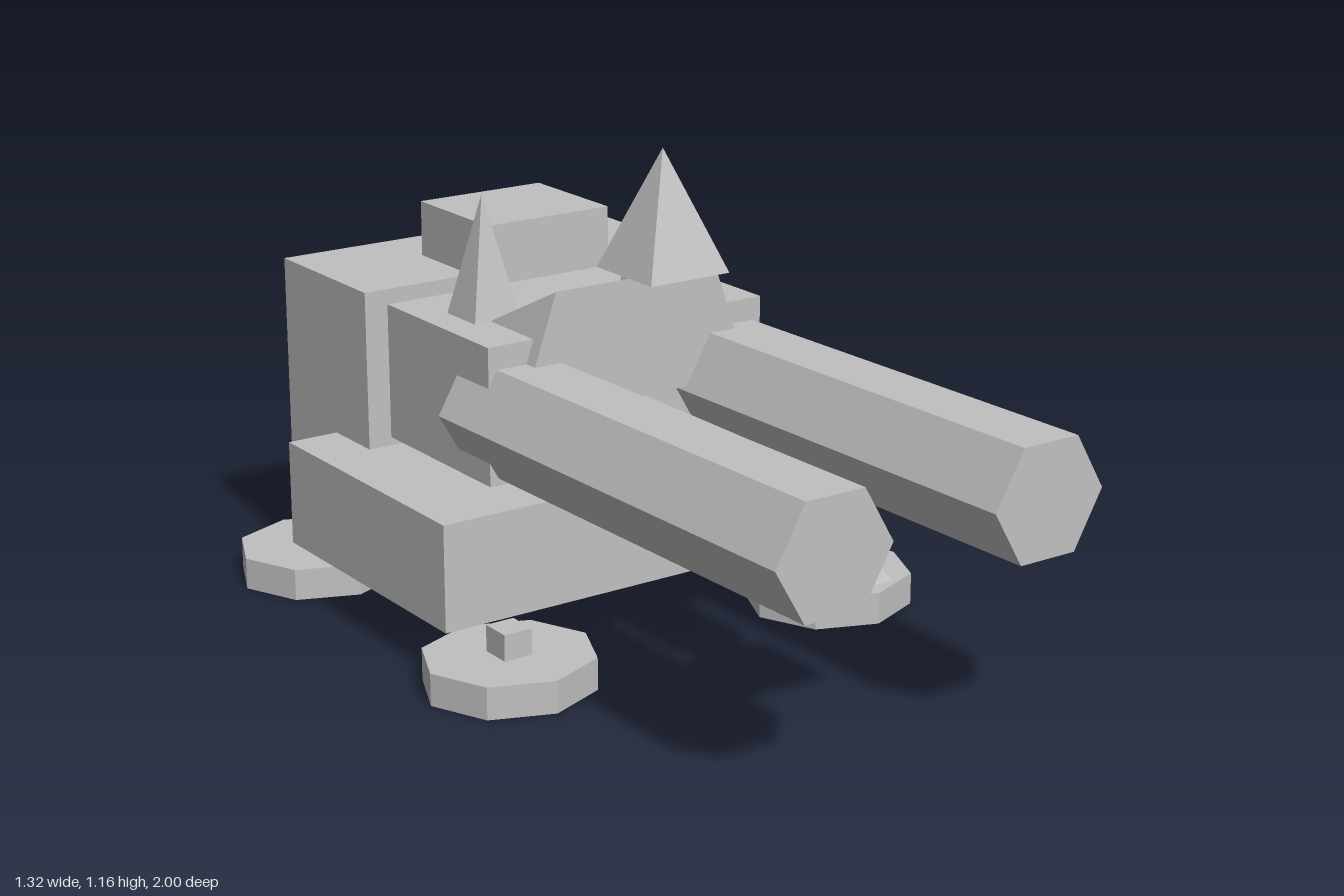
import * as THREE from 'three';

export function createModel() {
  const model = new THREE.Group();
  const grey = new THREE.MeshStandardMaterial({ color: 0xc0c0c0 });
  grey.name = 'plainGrey';
  grey.flatShading = true;

  const add = (name, geometry, x, y, z) => {
    const mesh = new THREE.Mesh(geometry, grey);
    mesh.name = name;
    mesh.position.set(x, y, z);
    model.add(mesh);
    return mesh;
  };
  // Box from its half width and its y and z ranges
  const box = (name, halfX, y0, y1, z0, z1, x = 0) =>
    add(name, new THREE.BoxGeometry(halfX * 2, y1 - y0, z1 - z0), x, (y0 + y1) / 2, (z0 + z1) / 2);
  // Square pyramid with sides along x and z
  const spike = (name, half, y0, y1, x, z) =>
    add(name, new THREE.ConeGeometry(half * Math.SQRT2, y1 - y0, 4, 1, false, Math.PI / 4), x, (y0 + y1) / 2, z);
  // Hexagonal bar along z with flat top and bottom
  const hexBar = (name, radius, x, y, z0, z1) =>
    add(name, new THREE.CylinderGeometry(radius, radius, z1 - z0, 6, 1, false, Math.PI / 2).rotateX(Math.PI / 2),
      x, y, (z0 + z1) / 2);

  // Body blocks
  box('chassis', 0.57, 0.125, 0.38, -0.725, -0.012);
  box('rearBody', 0.44, 0.26, 0.765, -0.96, -0.565);
  box('frontBody', 0.38, 0.4, 0.728, -0.57, -0.12);
  box('neckBlock', 0.29, 0.36, 0.45, -0.6, -0.44);
  box('roofHatch', 0.17, 0.775, 0.91, -0.757, -0.452);

  // Wedge with a leaning-sided front face and a sloping top
  const a = [-0.32, 0.555, -0.085], b = [0.32, 0.555, -0.085];
  const c = [0.22, 0.84, -0.085], d = [-0.22, 0.84, -0.085];
  const e = [0.32, 0.555, -0.64], f = [-0.32, 0.555, -0.64];
  const corners = [a, b, c, a, c, d, d, c, e, d, e, f, b, e, c, a, d, f, a, f, e, a, e, b];
  const wedge = new THREE.BufferGeometry();
  wedge.setAttribute('position', new THREE.Float32BufferAttribute(corners.flat(), 3));
  wedge.computeVertexNormals();
  add('frontWedge', wedge, 0, 0, 0);

  // Spikes
  spike('topSpike', 0.107, 0.88, 1.16, 0, 0.017);
  spike('noseSpike', 0.117, 0.322, 0.537, 0, 0.583);

  // Centre barrel
  hexBar('centreBarrel', 0.097, 0, 0.456, -0.15, 0.495);

  for (const side of [-1, 1]) {
    spike('earSpike', 0.061, 0.728, 1.015, side * 0.243, -0.358);
    // Large barrels, tilted slightly upwards to the front
    hexBar('sideBarrel', 0.148, side * 0.283, 0.55, -0.255, 1).rotation.x = -0.0112;
    // Octagonal feet with square pegs
    for (const z of [0.065, -0.805]) {
      const foot = new THREE.CylinderGeometry(0.205, 0.205, 0.077, 8).scale(1, 1, 0.95);
      add('foot', foot, side * 0.453, 0.0385, z);
      box('footPeg', 0.036, 0.077, 0.14, z - 0.038, z + 0.038, side * 0.453);
    }
  }
  return model;
}
